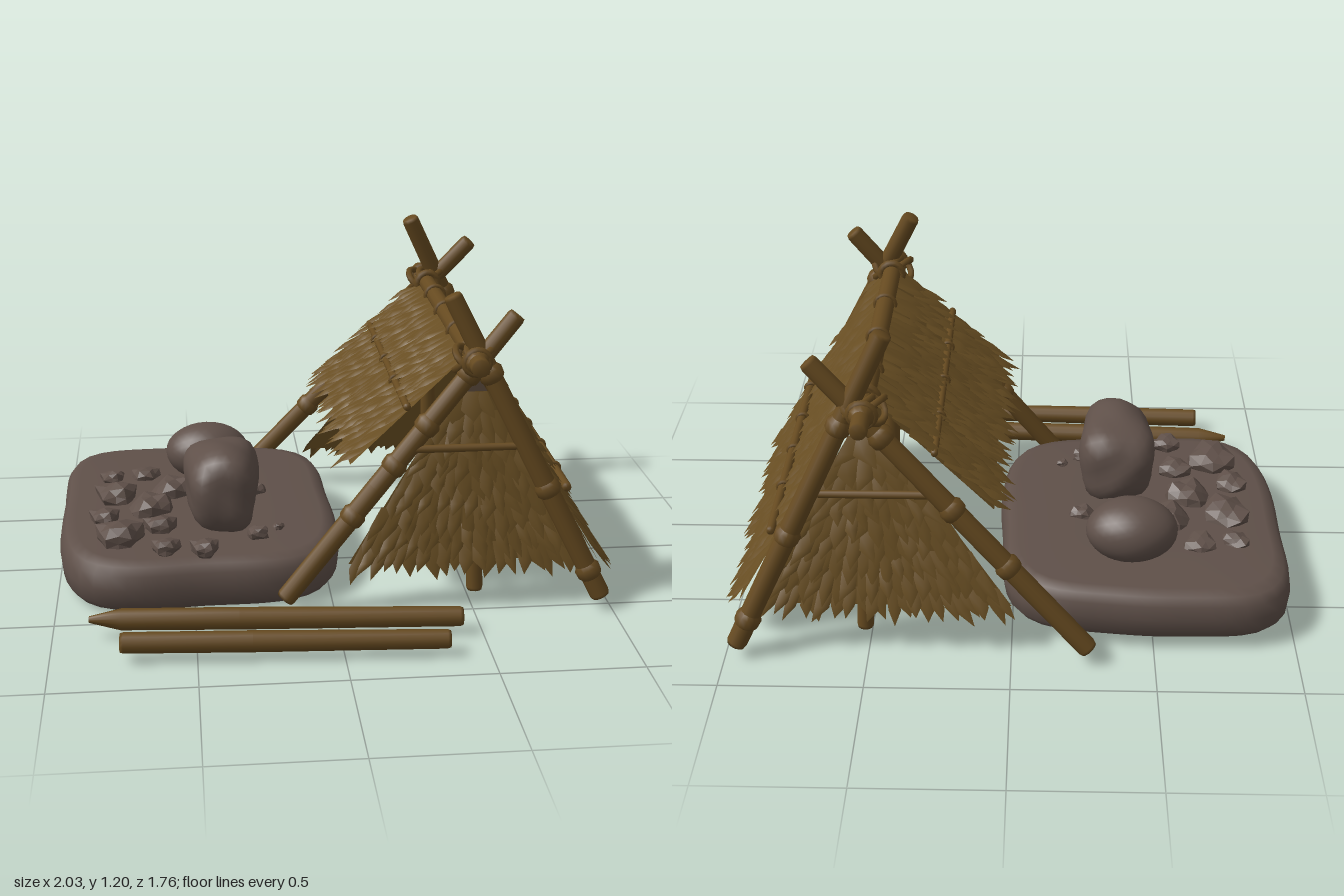
import * as THREE from 'three';
import { mergeVertices } from 'three/addons/utils/BufferGeometryUtils.js';

const material = (name, color, side = THREE.FrontSide) =>
  Object.assign(new THREE.MeshStandardMaterial({ color, side }), { name });

export function createModel() {
  const group = new THREE.Group();
  const wood = material('wood', 0x664a20);
  const thatchMat = material('thatch', 0x674d22, THREE.DoubleSide);
  const stone = material('stone', 0x5f5049);
  const hide = material('hide', 0x5a4a3c, THREE.DoubleSide);

  let seed = 7;
  const rand = () => (seed = (seed * 16807) % 2147483647) / 2147483647;
  const V = (p) => new THREE.Vector3(...p);
  const add = (name, geo, mat, parent = group) => {
    const m = new THREE.Mesh(geo, mat);
    m.name = name;
    parent.add(m);
    return m;
  };
  const smooth = (geo) => {
    geo.deleteAttribute('uv');
    geo.deleteAttribute('normal');
    const g = mergeVertices(geo, 1e-4);
    g.computeVertexNormals();
    return g;
  };
  const move = (geo, rule) => {
    const p = geo.attributes.position, v = new THREE.Vector3();
    for (let i = 0; i < p.count; i++) {
      rule(v.fromBufferAttribute(p, i));
      p.setXYZ(i, v.x, v.y, v.z);
    }
    return geo;
  };
  const UP = new THREE.Vector3(0, 1, 0);

  // Straight pole from a to b, with knots (bark collars) at fractions of its length
  function pole(name, a, b, r, knots = [], tip = 0) {
    const A = V(a), B = V(b), len = A.distanceTo(B), g = new THREE.Group();
    g.name = name;
    g.position.copy(A);
    g.quaternion.setFromUnitVectors(UP, B.clone().sub(A).normalize());
    const profile = [[0, 0], [r * (tip ? 0.3 : 0.9), 0], [r, tip || 0.012], [r * 1.03, len * 0.4],
      [r * 0.92, len - 0.012], [r * 0.8, len], [0, len]];
    add('shaft', new THREE.LatheGeometry(profile.map((p) => new THREE.Vector2(...p)), 12), wood, g);
    for (const t of knots) {
      const k = [[r * 0.9, -0.035], [r * 1.22, -0.02], [r * 1.28, 0.01], [r * 0.9, 0.03]];
      add('knot', new THREE.LatheGeometry(k.map((p) => new THREE.Vector2(...p)), 12), wood, g)
        .position.y = t * len;
    }
    group.add(g);
  }

  // Rope ring round an axis
  function ring(name, at, axis, r, tube = 0.009) {
    const m = add(name, new THREE.TorusGeometry(r, tube, 6, 16), wood);
    m.position.set(...at);
    m.quaternion.setFromUnitVectors(new THREE.Vector3(0, 0, 1), V(axis).normalize());
  }

  // Thatched sheet between four corners, covered in rows of pointed leaves
  function thatch(name, tl, tr, bl, br, rows) {
    const [TL, TR, BL, BR] = [tl, tr, bl, br].map(V);
    const at = (u, v) => TL.clone().lerp(TR, u).lerp(BL.clone().lerp(BR, u), v);
    const n = BL.clone().sub(TL).cross(BR.clone().sub(BL)).normalize();
    const pos = [], idx = [];
    const put = (u, v, h) => pos.push(...at(u, v).addScaledVector(n, h).toArray());
    put(0, 0, 0); put(1, 0, 0); put(0, 1, 0); put(1, 1, 0);
    idx.push(0, 2, 1, 1, 2, 3);
    for (let i = 0; i < rows; i++) {
      const v = i / rows, width = at(0, v).distanceTo(at(1, v));
      const count = Math.max(2, Math.round(width / 0.036));
      for (let j = 0; j < count; j++) {
        const u = (j + 0.5 + (rand() - 0.5) * 0.6) / count, w = (0.55 + rand() * 0.25) / count;
        const l = (1.35 + rand() * 0.65) / rows, lift = 0.02 + rand() * 0.02, k = pos.length / 3;
        put(u - w, v, 0.004);
        put(u + w, v, 0.004);
        put(u - w * 0.9, v + l * 0.6, lift * 0.6);
        put(u + w * 0.9, v + l * 0.6, lift * 0.6);
        put(u, v + l * 0.55, lift * 0.9);
        put(u + (rand() - 0.5) * w * 1.6, v + l, lift);
        idx.push(k, k + 2, k + 4, k, k + 4, k + 1, k + 1, k + 4, k + 3, k + 2, k + 5, k + 4, k + 4, k + 5, k + 3);
      }
    }
    const geo = new THREE.BufferGeometry();
    geo.setAttribute('position', new THREE.Float32BufferAttribute(pos, 3));
    geo.setIndex(idx);
    geo.computeVertexNormals();
    add(name, geo, thatchMat);
  }

  // A-frame poles at both ends, and the ridge across them
  pole('frontRightPole', [-0.18, 0.06, 0.475], [0.64, 1.08, 0.425], 0.036, [0.3, 0.48, 0.62, 0.8]);
  pole('frontLeftPole', [0.96, 0.05, 0.53], [0.41, 1.15, 0.41], 0.036, [0.09, 0.37, 0.75]);
  pole('backRightPole', [-0.27, 0.06, -0.845], [0.67, 1.09, -0.69], 0.036, [0.3, 0.5, 0.75]);
  pole('backLeftPole', [0.96, 0.05, -0.83], [0.42, 1.19, -0.685], 0.036, [0.09, 0.37, 0.72]);
  pole('ridge', [0.49, 0.93, 0.57], [0.49, 0.93, -0.88], 0.034, [0.06, 0.92]);
  for (const z of [0.09, -0.19, -0.44]) ring('ridgeTie', [0.49, 0.93, z], [0, 0, 1], 0.037);

  // Rope lashings at the crossings
  for (const z of [0.43, -0.7]) {
    for (const d of [-0.02, 0.02]) {
      ring('lashing', [0.49 + d, 0.925, z], [0.6, 0.75, 0.35], 0.06, 0.013);
      ring('lashing', [0.49 + d, 0.925, z], [-0.6, 0.75, -0.35], 0.06, 0.013);
    }
    ring('lashing', [0.49, 0.93, z + 0.06], [0, 0, 1], 0.042, 0.014);
    ring('lashing', [0.49, 0.93, z - 0.06], [0, 0, 1], 0.042, 0.014);
  }

  // Roof: long slope on the left, short awning on the right
  thatch('leftRoof', [0.52, 0.92, 0.46], [0.52, 0.92, -0.655], [0.955, 0.17, 0.5], [0.955, 0.17, -0.74], 11);
  thatch('rightRoof', [0.46, 0.92, -0.66], [0.46, 0.92, 0.4], [0.06, 0.54, -0.71], [0.06, 0.54, 0.41], 7);
  pole('leftRoofRail', [0.825, 0.46, 0.5], [0.825, 0.46, -0.74], 0.017);
  for (const z of [0.3, 0.05, -0.19, -0.45]) ring('railTie', [0.82, 0.46, z], [0, 0, 1], 0.022, 0.008);
  pole('rightRoofRail', [0.26, 0.75, 0.42], [0.26, 0.75, -0.7], 0.014);
  for (const z of [0.1, -0.17, -0.44]) ring('railTie', [0.26, 0.75, z], [0, 0, 1], 0.019, 0.007);

  // Thatched end walls, each with a cross bar, a post and a hide at the peak
  thatch('frontWall', [0.43, 0.8, 0.41], [0.55, 0.8, 0.41], [0.05, 0.18, 0.46], [0.9, 0.18, 0.47], 9);
  thatch('backWall', [0.55, 0.8, -0.67], [0.43, 0.8, -0.67], [0.9, 0.18, -0.765], [0.0, 0.18, -0.765], 9);
  pole('frontCrossBar', [0.27, 0.61, 0.465], [0.68, 0.61, 0.465], 0.014);
  pole('backCrossBar', [0.27, 0.61, -0.735], [0.68, 0.61, -0.735], 0.014);
  pole('frontPost', [0.52, 0.04, 0.41], [0.49, 0.9, 0.36], 0.03);
  pole('backPost', [0.52, 0.04, -0.7], [0.49, 0.9, -0.63], 0.03);
  const peak = new THREE.Shape([[0.4, 0.74], [0.58, 0.74], [0.49, 0.89]].map((p) => new THREE.Vector2(...p)));
  for (const z of [0.4, -0.66]) add('peakHide', new THREE.ShapeGeometry(peak), hide).position.z = z;

  // Loose logs on the ground
  pole('pointedLog', [-0.87, 0.075, 0.61], [0.43, 0.065, 0.685], 0.038, [], 0.11);
  pole('bluntLog', [-0.76, 0.07, 0.79], [0.36, 0.06, 0.845], 0.036);

  // Stone slab: a lathe squared off into a rounded rectangle
  const slabProfile = [[0, 0], [0.88, 0], [0.95, 0.012], [0.99, 0.045], [1, 0.1], [0.985, 0.15],
    [0.95, 0.178], [0.88, 0.19], [0.5, 0.192], [0, 0.192]].map((p) => new THREE.Vector2(...p));
  const slab = move(new THREE.LatheGeometry(slabProfile, 64), (v) => {
    const a = Math.atan2(v.z, v.x), e = 4.5;
    const f = (Math.abs(Math.cos(a)) ** e + Math.abs(Math.sin(a)) ** e) ** (-1 / e);
    const wob = 1 + 0.008 * Math.sin(a * 7) * v.length();
    v.x *= f * wob;
    v.z *= f * wob;
    v.set(-0.475 + v.x * 0.525 + v.z * 0.012, v.y + 0.016 * (1 - v.z),
      -0.165 + v.z * 0.605 - 0.025 * v.x * v.z);
  });
  add('slab', smooth(slab), stone);

  // Boulders and rubble: lumpy spheres
  function rock(name, center, size, lump, detail, faceted, square = 0) {
    const s = rand() * 20;
    let geo = smooth(new THREE.IcosahedronGeometry(1, detail));
    move(geo, (v) => {
      const box = (Math.abs(v.x) ** 4 + Math.abs(v.y) ** 4 + Math.abs(v.z) ** 4) ** -0.25;
      const k = 1 + lump * (Math.sin(v.x * 3.1 + s) * Math.cos(v.z * 3.7 - s) + 0.5 * Math.sin(v.y * 5 + v.x * 4 + s * 2));
      v.multiplyScalar(k * (1 + (box - 1) * square));
      v.multiply(V(size)).add(V(center));
    });
    if (faceted) geo = geo.toNonIndexed();
    geo.computeVertexNormals();
    add(name, geo, stone);
  }
  rock('bigBoulder', [-0.385, 0.345, 0.035], [0.135, 0.155, 0.2], 0.07, 5, false, 0.75);
  rock('roundBoulder', [-0.427, 0.3, -0.45], [0.165, 0.115, 0.133], 0.01, 5, false);
  const rubble = [[-0.81, -0.39, 0.05], [-0.68, -0.41, 0.055], [-0.79, -0.2, 0.08], [-0.56, -0.24, 0.085],
    [-0.65, -0.07, 0.08], [-0.83, 0.02, 0.055], [-0.77, 0.2, 0.085], [-0.62, 0.12, 0.06], [-0.6, 0.32, 0.05],
    [-0.46, 0.34, 0.05], [-0.36, -0.24, 0.04], [-0.25, -0.21, 0.045], [-0.45, -0.2, 0.05], [-0.26, 0.22, 0.04],
    [-0.18, 0.16, 0.02]];
  for (const [x, z, r] of rubble)
    rock('rubble', [x, 0.212, z], [r, r * 0.65, r * (0.85 + rand() * 0.3)], 0.2, 1, true, 0.4);

  return group;
}
